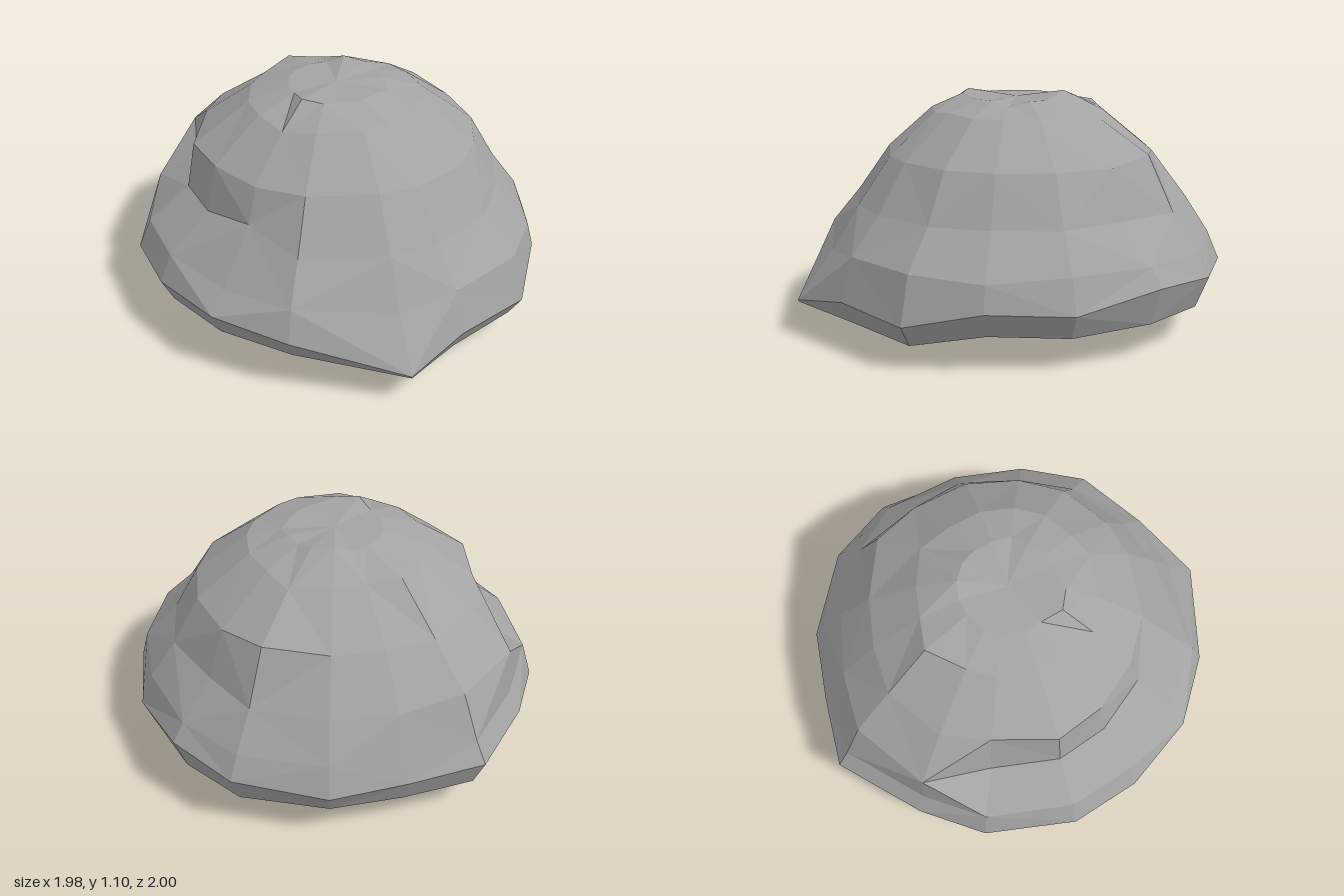
import * as THREE from 'three';

const SIDES = 16;

// Footprint of the rim, from +x round through +z: x and z of each corner
const rimX = [0.99, 0.97, 0.73, 0.54, 0, -0.37, -0.69, -0.9, -0.99, -0.91, -0.72, -0.38, -0.03, 0.41, 0.7, 0.92];
const rimZ = [0, 0.36, 0.69, 0.96, 1, 0.92, 0.69, 0.41, -0.03, -0.36, -0.78, -0.9, -1, -0.94, -0.73, -0.38];

// Uneven heights of the rim and of the edge under it
const rimY = [0.28, 0.2, 0.22, 0.16, 0.28, 0.31, 0.29, 0.28, 0.26, 0.28, 0.32, 0.3, 0.28, 0.31, 0.335, 0.265];
const underY = [0.165, 0.1, 0.11, 0.15, 0.175, 0.19, 0.17, 0.15, 0.16, 0.15, 0.17, 0.16, 0.165, 0.16, 0.16, 0.15];

// Radii of the shoulder, with its dents and overhangs, and of the crown above it
const shoulderR = [0.79, 0.81, 0.8, 0.8, 0.8, 0.7, 0.71, 0.73, 0.73, 0.9, 0.9, 0.84, 0.83, 0.84, 0.78, 0.81];
const crownR = [0.67, 0.67, 0.65, 0.64, 0.64, 0.64, 0.66, 0.69, 0.66, 0.7, 0.7, 0.66, 0.66, 0.71, 0.69, 0.68];

// Single corners pushed out, in or up: [ring, corner, radius factor, height change]
const chips = [
  [1, 1, 1, -0.025], [1, 2, 1, -0.02], [1, 3, 1, -0.03],
  [2, 3, 1.06, 0], [4, 3, 0.9, -0.04], [4, 0, 1.03, -0.02],
  [4, 8, 1.01, 0.01], [4, 9, 1.0, -0.04], [4, 5, 0.96, -0.02],
  [5, 9, 1, 0.03], [5, 10, 1, 0.04], [5, 5, 1, 0.05], [5, 8, 1, -0.03],
  [6, 5, 1, -0.01], [6, 13, 1, 0.03], [6, 8, 1, 0.02],
  [7, 5, 1.03, -0.02], [7, 10, 1.12, 0.01], [7, 13, 1.1, -0.02], [7, 2, 0.96, 0.01],
  [8, 4, 1.15, 0.01], [8, 5, 1.2, 0.02], [8, 12, 1, 0.03], [8, 13, 1, 0.02], [8, 0, 1.1, -0.02],
];

function createRings() {
  const angle = (k) => Math.atan2(rimZ[k], rimX[k]);
  const onRim = (scale, y) => (k) => [rimX[k] * scale, y(k), rimZ[k] * scale];
  const round = (radius, y) => (k) => [Math.cos(angle(k)) * radius(k), y, Math.sin(angle(k)) * radius(k)];
  const rules = [
    round(() => 0, 0.03),                   // middle of the base
    round(() => 0.41, 0.03),                // base
    onRim(0.94, (k) => underY[k]),          // edge under the rim
    onRim(1, (k) => rimY[k]),               // rim
    onRim(0.94, () => 0.42),                // lower slope
    round((k) => shoulderR[k], 0.59),       // shoulder
    round((k) => crownR[k], 0.815),         // crown
    round(() => 0.42, 1.01),                // top edge
    round(() => 0.23, 1.07),                // top
    round(() => 0, 1.07),                   // middle of the top
  ];
  const rings = rules.map((rule) => Array.from({ length: SIDES }, (_, k) => new THREE.Vector3(...rule(k))));
  for (const [ring, k, factor, lift] of chips) {
    const p = rings[ring][k];
    p.set(p.x * factor, p.y + lift, p.z * factor);
  }
  return rings;
}

// Joins neighbouring rings with triangles, turning every other diagonal
function skinRings(rings) {
  const positions = [];
  const addFace = (a, b, c) => {
    if (new THREE.Triangle(a, b, c).getArea() < 1e-6) return;
    for (const p of [a, b, c]) positions.push(p.x, p.y, p.z);
  };
  for (let i = 0; i < rings.length - 1; i++) {
    for (let k = 0; k < SIDES; k++) {
      const n = (k + 1) % SIDES;
      const a = rings[i][k], b = rings[i][n], c = rings[i + 1][k], d = rings[i + 1][n];
      if ((i + k) % 2) {
        addFace(a, c, b);
        addFace(b, c, d);
      } else {
        addFace(a, c, d);
        addFace(a, d, b);
      }
    }
  }
  const geometry = new THREE.BufferGeometry();
  geometry.setAttribute('position', new THREE.Float32BufferAttribute(positions, 3));
  geometry.computeVertexNormals();
  return geometry;
}

export function createModel() {
  const group = new THREE.Group();
  group.name = 'boulder';

  const stone = new THREE.MeshStandardMaterial({ color: 0xa3a3a3, flatShading: true });
  stone.name = 'stone grey';

  const rock = new THREE.Mesh(skinRings(createRings()), stone);
  rock.name = 'rock';
  group.add(rock);
  return group;
}
